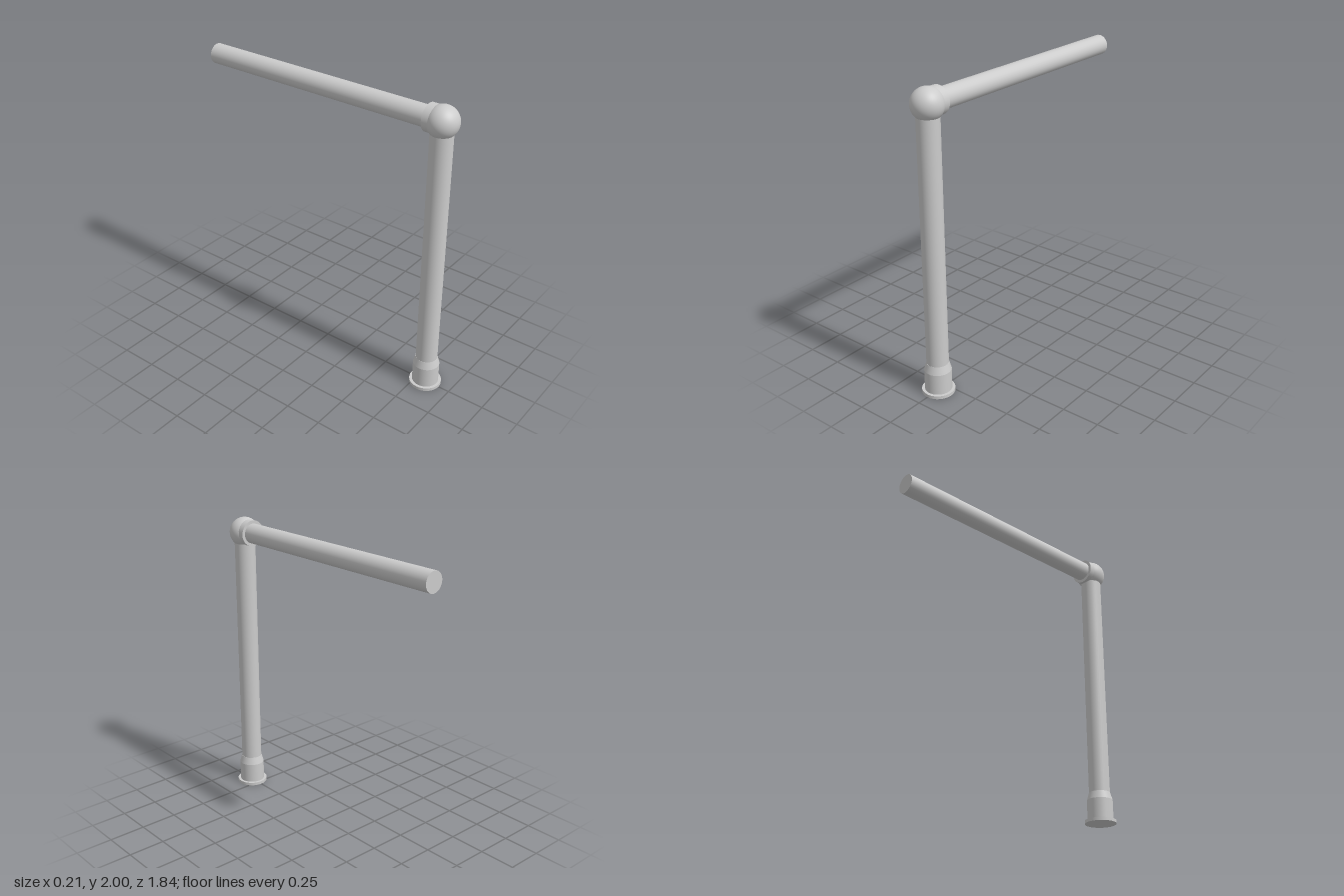
import * as THREE from 'three';

const SEGMENTS = 32;
const POST_Z = 0.817;
const JOINT_Y = 1.898;
const ARM_Y = 1.902;
const BACK_Z = -0.918;

export function createModel() {
  const model = new THREE.Group();
  model.name = 'railPost';
  const material = new THREE.MeshStandardMaterial({ color: 0xcccccc });

  const add = (name, geometry, y, z) => {
    const mesh = new THREE.Mesh(geometry, material);
    mesh.name = name;
    mesh.position.set(0, y, z);
    model.add(mesh);
    return mesh;
  };

  // Upright or horizontal round bar running between two heights or depths
  const upright = (name, rTop, rBottom, y0, y1) =>
    add(name, new THREE.CylinderGeometry(rTop, rBottom, y1 - y0, SEGMENTS), (y0 + y1) / 2, POST_Z);
  const horizontal = (name, radius, z0, z1) => {
    const geometry = new THREE.CylinderGeometry(radius, radius, z1 - z0, SEGMENTS);
    geometry.rotateX(Math.PI / 2);
    return add(name, geometry, ARM_Y, (z0 + z1) / 2);
  };

  // Foot: flange, sleeve and tapered shoulder
  upright('baseFlange', 0.106, 0.106, 0, 0.021);
  upright('baseSleeve', 0.087, 0.087, 0.021, 0.16);
  upright('sleeveShoulder', 0.072, 0.087, 0.16, 0.212);

  // Post and ball joint
  upright('post', 0.071, 0.071, 0.212, 1.85);
  add('ballJoint', new THREE.SphereGeometry(0.102, 40, 24), JOINT_Y, POST_Z);

  // Collar and arm reaching backwards
  horizontal('armCollar', 0.088, 0.725, 0.775);
  horizontal('arm', 0.067, BACK_Z, 0.76);

  return model;
}
